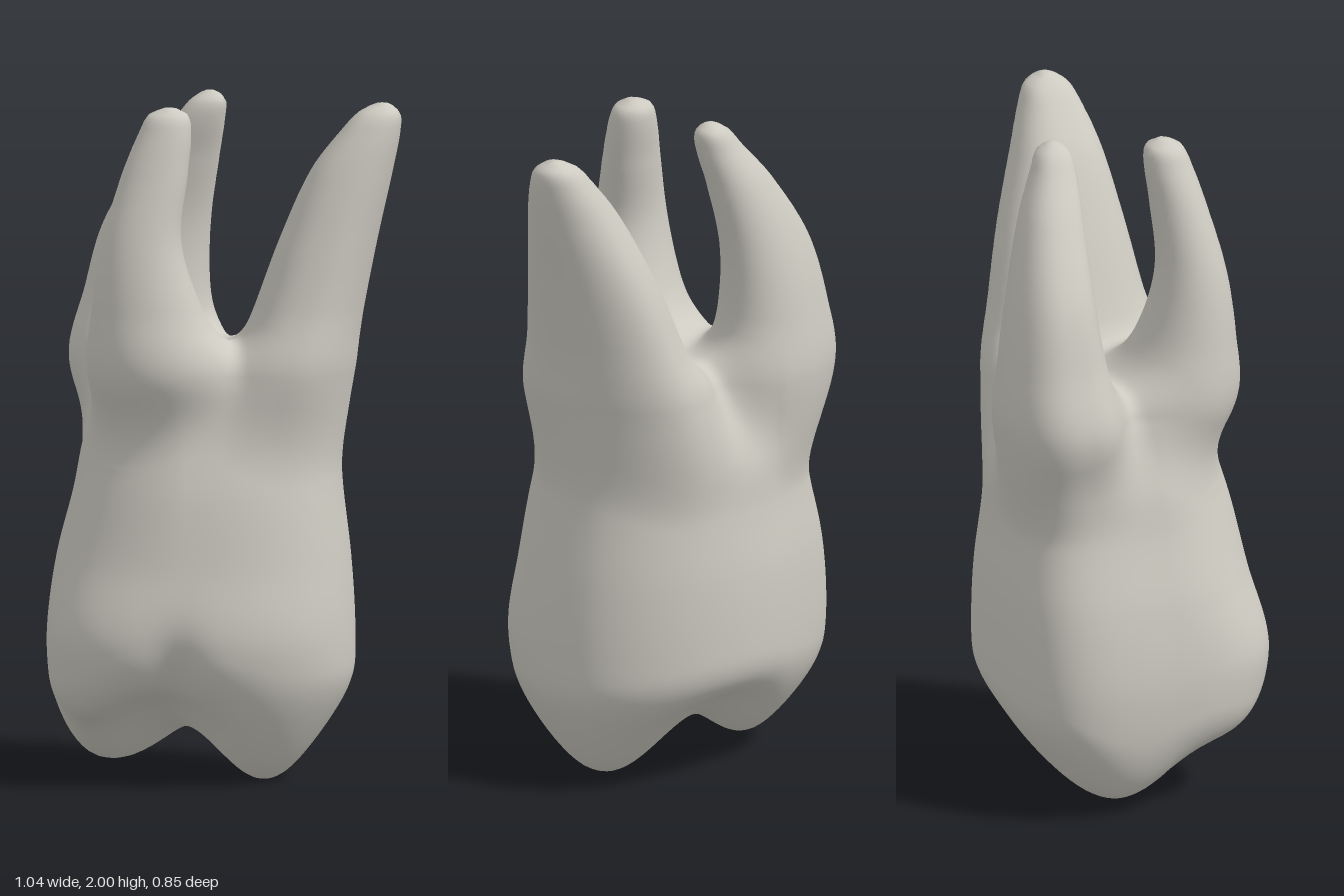
import * as THREE from 'three';

// Crown and neck sections: [y, xMin, xMax, zMin, zMax, squareness of the front right corner]
const CROWN = [
  [0.0, -0.46, 0.29, -0.31, 0.29, 2.9],
  [0.15, -0.49, 0.345, -0.365, 0.365, 2.9],
  [0.3, -0.515, 0.378, -0.39, 0.41, 2.9],
  [0.45, -0.52, 0.382, -0.40, 0.43, 2.9],
  [0.65, -0.495, 0.37, -0.395, 0.395, 2.25],
  [0.85, -0.445, 0.347, -0.37, 0.36, 1.95],
  [1.0, -0.415, 0.335, -0.36, 0.32, 1.75],
  [1.2, -0.345, 0.305, -0.31, 0.27, 1.7],
];

// Root sections: [y, centre x, centre z, radius x, radius z]
const ROOTS = [
  // large root on the left
  [[0.6, 0.05, 0.0, 0.04, 0.04], [1.0, 0.15, 0.0, 0.16, 0.24], [1.2, 0.195, 0.02, 0.18, 0.28],
    [1.4, 0.25, 0.025, 0.16, 0.235], [1.6, 0.307, 0.037, 0.143, 0.19], [1.8, 0.375, 0.057, 0.12, 0.133],
    [1.92, 0.432, 0.066, 0.086, 0.09], [1.975, 0.457, 0.068, 0.058, 0.06], [2.0, 0.465, 0.068, 0.015, 0.015]],
  // front right root
  [[0.6, -0.12, 0.05, 0.04, 0.04], [1.0, -0.17, 0.11, 0.16, 0.14], [1.2, -0.175, 0.15, 0.222, 0.203],
    [1.4, -0.22, 0.19, 0.163, 0.142], [1.6, -0.235, 0.198, 0.117, 0.102], [1.8, -0.197, 0.175, 0.097, 0.08],
    [1.92, -0.168, 0.155, 0.077, 0.068], [1.97, -0.16, 0.148, 0.058, 0.053], [1.99, -0.158, 0.146, 0.02, 0.02]],
  // back right root
  [[0.6, -0.15, -0.08, 0.04, 0.04], [1.0, -0.24, -0.22, 0.165, 0.15], [1.2, -0.25, -0.25, 0.225, 0.175],
    [1.4, -0.245, -0.265, 0.185, 0.145], [1.6, -0.215, -0.255, 0.157, 0.115], [1.8, -0.14, -0.215, 0.11, 0.088],
    [1.92, -0.083, -0.178, 0.072, 0.065], [1.975, -0.06, -0.168, 0.05, 0.047], [2.0, -0.055, -0.166, 0.015, 0.015]],
];

// Cusps and ridges under the crown: [x, z, depth, spread]
const CUSPS = [
  [0.12, 0.07, 0.305, 0.165], [-0.37, -0.09, 0.265, 0.16], [-0.42, 0.27, 0.1, 0.13],
  [-0.19, -0.22, 0.1, 0.12], [0.12, 0.26, 0.06, 0.11],
];

// Smooth interpolation of a section table at height y
function sectionAt(rows, y) {
  const last = rows.length - 1;
  if (y <= rows[0][0]) return rows[0];
  if (y >= rows[last][0]) return rows[last];
  let i = 0;
  while (rows[i + 1][0] < y) i++;
  const a = rows[i], b = rows[i + 1], h = b[0] - a[0], t = (y - a[0]) / h;
  const p = rows[Math.max(i - 1, 0)], n = rows[Math.min(i + 2, last)];
  return a.map((v, c) => {
    const m0 = (b[c] - p[c]) / (b[0] - p[0]) * h, m1 = (n[c] - v) / (n[0] - a[0]) * h;
    const t2 = t * t, t3 = t2 * t;
    return (2 * t3 - 3 * t2 + 1) * v + (t3 - 2 * t2 + t) * m0 + (3 * t2 - 2 * t3) * b[c] + (t3 - t2) * m1;
  });
}

function smoothMin(a, b, k) {
  const h = Math.max(k - Math.abs(a - b), 0) / k;
  return Math.min(a, b) - h * h * k / 4;
}
const smoothMax = (a, b, k) => -smoothMin(-a, -b, k);

// Signed field of a rounded squarish section
function sectionField(dx, dz, rx, rz, n) {
  const q = Math.pow(Math.pow(Math.abs(dx) / rx, n) + Math.pow(Math.abs(dz) / rz, n), 1 / n);
  return (q - 1) * Math.min(rx, rz);
}

// Soft vertical groove centred on x and y
const groove = (x, y, cx, cy, w, h) => Math.exp(-(((x - cx) / w) ** 2) - ((y - cy) / h) ** 2);

// Crown: cusped underside, front groove, and a groove between the back roots
function crownField(x, y, z) {
  const [, x0, x1, z0, z1, frontRight] = sectionAt(CROWN, y);
  const dx = x + 0.1, dz = z - 0.02;
  const rx = dx > 0 ? x1 + 0.1 : -0.1 - x0, rz = dz > 0 ? z1 - 0.02 : 0.02 - z0;
  const n = dx > 0 ? (dz > 0 ? 2.4 : 1.85) : (dz > 0 ? frontRight : 3.8);
  let d = sectionField(dx, dz, rx, rz, n);
  if (z > 0) d += 0.045 * Math.min(1, z / 0.2) * groove(x, y, -0.13, 0.3, 0.08, 0.14);
  else d += 0.06 * Math.min(1, -z / 0.2) * groove(x, y, 0.01, 1.25, 0.09, 0.17);
  let floor = 0.32;
  for (const [cx, cz, depth, s] of CUSPS) {
    floor -= depth * Math.exp(-((x - cx) ** 2 + (z - cz) ** 2) / (2 * s * s));
  }
  d = smoothMax(d, (floor - y) * 0.75, 0.08);
  return smoothMax(d, y - 1.265, 0.12);
}

function rootField(rows, x, y, z) {
  const [, cx, cz, rx, rz] = sectionAt(rows, y);
  const n = x < cx && cz < 0.1 ? 2.5 : 2.05;
  const d = sectionField(x - cx, z - cz, rx, rz, n);
  return Math.max(d, y - rows[rows.length - 1][0], rows[0][0] - y);
}

function toothField(x, y, z) {
  const crown = crownField(x, y, z);
  if (y < 0.6) return crown;
  let roots = 1;
  for (const rows of ROOTS) roots = smoothMin(roots, rootField(rows, x, y, z), 0.05);
  return smoothMin(crown, roots, 0.09);
}

// Skin a field with quads: one vertex per crossed cell, one quad per crossed edge
function skinField(field, min, max, step) {
  const size = min.map((v, a) => Math.ceil((max[a] - v) / step) + 1);
  const stride = [1, size[0], size[0] * size[1]];
  const values = new Float32Array(size[0] * size[1] * size[2]).fill(1);
  const eachPoint = (margin, visit) => {
    for (let k = margin; k < size[2] - 1; k++)
      for (let j = margin; j < size[1] - 1; j++)
        for (let i = margin; i < size[0] - 1; i++) visit([i, j, k], i + j * stride[1] + k * stride[2]);
  };
  eachPoint(0, (p, id) => { values[id] = field(...p.map((v, a) => min[a] + v * step)); });

  const positions = [], normals = [], indices = [], cellVertex = new Map();
  eachPoint(0, (p, id) => {
    const sum = [0, 0, 0];
    let count = 0;
    for (let a = 0; a < 3; a++) {
      const b = (a + 1) % 3, c = (a + 2) % 3;
      for (let e = 0; e < 4; e++) {
        const ob = e & 1, oc = e >> 1;
        const start = id + ob * stride[b] + oc * stride[c];
        const v0 = values[start], v1 = values[start + stride[a]];
        if ((v0 < 0) === (v1 < 0)) continue;
        sum[a] += v0 / (v0 - v1);
        sum[b] += ob;
        sum[c] += oc;
        count++;
      }
    }
    if (!count) return;
    cellVertex.set(id, positions.length / 3);
    const [x, y, z] = p.map((v, a) => min[a] + (v + sum[a] / count) * step);
    positions.push(x, y, z);
    // normal from the slope of the field
    const e = 0.012;
    normals.push(...new THREE.Vector3(
      field(x + e, y, z) - field(x - e, y, z),
      field(x, y + e, z) - field(x, y - e, z),
      field(x, y, z + e) - field(x, y, z - e),
    ).normalize());
  });
  eachPoint(1, (p, id) => {
    for (let a = 0; a < 3; a++) {
      const inside = values[id] < 0;
      if (inside === (values[id + stride[a]] < 0)) continue;
      const sb = stride[(a + 1) % 3], sc = stride[(a + 2) % 3];
      const q = [id - sb - sc, id - sc, id, id - sb].map((c) => cellVertex.get(c));
      if (!inside) q.reverse();
      indices.push(q[0], q[1], q[2], q[0], q[2], q[3]);
    }
  });
  const geometry = new THREE.BufferGeometry();
  geometry.setAttribute('position', new THREE.Float32BufferAttribute(positions, 3));
  geometry.setAttribute('normal', new THREE.Float32BufferAttribute(normals, 3));
  geometry.setIndex(indices);
  return geometry;
}

export function createModel() {
  const enamel = new THREE.MeshStandardMaterial({ color: 0xcdcac1 });
  enamel.name = 'enamel';

  const tooth = new THREE.Mesh(skinField(toothField, [-0.6, -0.06, -0.52], [0.6, 2.08, 0.52], 0.016), enamel);
  tooth.name = 'toothCrownAndRoots';

  const group = new THREE.Group();
  group.name = 'molar';
  group.add(tooth);
  return group;
}
